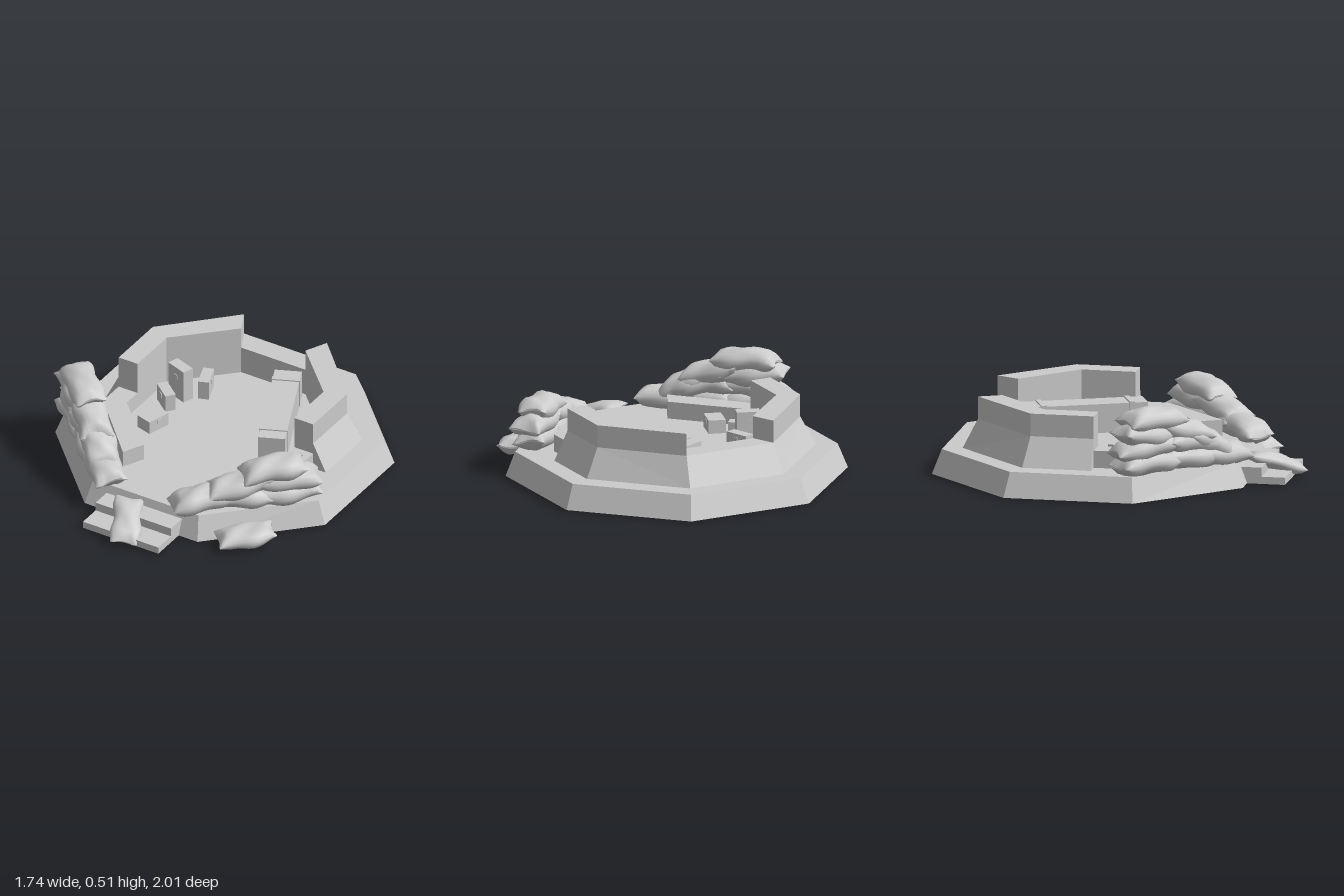
import * as THREE from 'three';
import { mergeVertices } from 'three/addons/utils/BufferGeometryUtils.js';

const flat = new THREE.MeshStandardMaterial({ color: 0xcccccc, flatShading: true, side: THREE.DoubleSide });
const smooth = new THREE.MeshStandardMaterial({ color: 0xcccccc, side: THREE.DoubleSide });

const FLOOR = 0.155;

// Joins rings of points into a faceted solid, with optional end caps
function loft(rings, capStart = true, capEnd = true) {
  const pos = [];
  const tri = (...pts) => pts.forEach((p) => pos.push(...p));
  const n = rings[0].length;
  for (let k = 0; k < rings.length - 1; k++) {
    for (let j = 0; j < n; j++) {
      const a = rings[k][j], b = rings[k][(j + 1) % n];
      const c = rings[k + 1][(j + 1) % n], d = rings[k + 1][j];
      tri(a, b, c);
      tri(a, c, d);
    }
  }
  const first = rings[0], last = rings[rings.length - 1];
  for (let j = 1; j < n - 1; j++) {
    if (capStart) tri(first[0], first[j + 1], first[j]);
    if (capEnd) tri(last[0], last[j], last[j + 1]);
  }
  const g = new THREE.BufferGeometry();
  g.setAttribute('position', new THREE.Float32BufferAttribute(pos, 3));
  g.computeVertexNormals();
  return g;
}

function add(parent, name, geometry, material = flat) {
  const m = new THREE.Mesh(geometry, material);
  m.name = name;
  parent.add(m);
  return m;
}

function addBox(parent, name, size, at) {
  const m = add(parent, name, new THREE.BoxGeometry(...size));
  m.position.set(...at);
  return m;
}

// Octagon mirrored from four corners of its left half
function octagon(half, y) {
  const left = half.map(([x, z]) => [x, y, z]);
  return [...left, ...left.map(([x, , z]) => [-x, y, z]).reverse()];
}

// Wall station: inner edge, upper outer edge, foot of the sloping bank
const backCorner = { i: [0.205, -0.64], o: [0.265, -0.765], f: [0.285, -0.845] };
const sideCorner = { i: [0.5, -0.35], o: [0.62, -0.4], f: [0.7, -0.43] };
const sideEnd = { i: [0.5, -0.05], o: [0.62, -0.05], f: [0.7, -0.05] };
const at = ([x, z], y) => [x, y, z];
const tallRing = (s) => [at(s.i, FLOOR), at(s.f, FLOOR), at(s.o, 0.315), at(s.o, 0.44), at(s.i, 0.44)];
const bankRing = (s) => [at(s.i, FLOOR), at(s.f, FLOOR), at(s.o, 0.315), at(s.i, 0.315)];
const lowRing = (i, o) => [at(i, FLOOR), at(o, FLOOR), at(o, 0.25), at(i, 0.25)];

// Filled sack: plump middle, flattened flaring ends, slight wrinkles and sag
function sackGeometry(length, width, height, seed) {
  const g = new THREE.BoxGeometry(2, 2, 2, 12, 4, 6);
  g.deleteAttribute('uv');
  g.deleteAttribute('normal');
  const p = g.attributes.position;
  for (let k = 0; k < p.count; k++) {
    const u = p.getX(k), v = p.getY(k), w = p.getZ(k);
    const plump = 0.1 + 0.9 * Math.sqrt(1 - Math.pow(Math.abs(u), 3.5));
    const flare = 0.93 - 0.2 * Math.pow(Math.abs(u), 4) + 0.16 * Math.pow(Math.abs(u), 12);
    const wrinkle = 1 + 0.07 * Math.sin(5 * u + 3 * w + seed) + 0.05 * Math.sin(7 * w - 4 * u + 2 * seed);
    const sag = 0.12 * Math.sin(2.5 * u + seed) + 0.18 * Math.pow(Math.abs(u), 6) * Math.sin(seed * 3 + w * 2);
    p.setXYZ(
      k,
      u * length * 0.5 * (1 - 0.07 * (1 - w * w)),
      height * 0.5 * (v * Math.sqrt(1 - 0.55 * w * w) * plump * wrinkle + sag),
      w * Math.sqrt(1 - 0.4 * v * v) * flare * width * 0.5 * wrinkle
    );
  }
  const merged = mergeVertices(g, 1e-4);
  merged.computeVertexNormals();
  return merged;
}

let sackCount = 0;
function addSack(parent, [x, y, z], yaw, pitch, [l, w, h] = [0.36, 0.19, 0.12]) {
  const m = add(parent, 'sandbag', sackGeometry(l, w, h, ++sackCount * 1.7), smooth);
  m.position.set(x, y, z);
  m.rotation.set(0.06 * Math.sin(sackCount * 2.3), yaw, pitch, 'YXZ');
}

// Stack along a front diagonal; each entry is [distance toward the entrance, y, pitch, yaw offset, length]
function sackStack(parent, name, side, cx, cz, entries) {
  const stack = new THREE.Group();
  stack.name = name;
  for (const [s, y, pitch, turn, length] of entries) {
    const yaw = side < 0 ? -0.76 + turn : Math.PI + 0.76 + turn;
    addSack(stack, [side * (cx - 0.72 * s), y, cz + 0.69 * s], yaw, pitch, [length, 0.2, 0.13]);
  }
  parent.add(stack);
}

export function createModel() {
  sackCount = 0;
  const model = new THREE.Group();
  model.name = 'emplacement';

  // Platform, open underneath
  const foot = [[0.36, 0.72], [0.86, 0.215], [0.86, -0.5], [0.36, -1]];
  const rim = [[0.335, 0.67], [0.81, 0.2], [0.81, -0.475], [0.335, -0.95]];
  add(model, 'platform', loft([octagon(foot, 0.02), octagon(rim, FLOOR)], false));

  // Entrance steps
  addBox(model, 'lowerStep', [0.48, 0.04, 0.24], [0, 0.04, 0.81]);
  addBox(model, 'upperStep', [0.48, 0.05, 0.12], [0, 0.085, 0.74]);

  // Low back parapet between the taller walls
  const mirrored = (s) => Object.fromEntries(Object.entries(s).map(([k, [x, z]]) => [k, [-x, z]]));
  add(model, 'backParapet', loft([bankRing(mirrored(backCorner)), bankRing(backCorner)]));

  // Tall walls and low front walls on both sides
  for (const side of [1, -1]) {
    const half = new THREE.Group();
    half.name = side > 0 ? 'leftWalls' : 'rightWalls';
    add(half, 'tallWall', loft([backCorner, sideCorner, sideEnd].map(tallRing)));
    add(half, 'lowWall', loft([
      lowRing([0.5, -0.05], [0.62, -0.05]),
      lowRing([0.5, 0.06], [0.62, 0.11]),
      lowRing([0.205, 0.36], [0.265, 0.48]),
    ]));
    half.scale.x = side;
    model.add(half);
  }

  // Long chest with two straps
  const chest = new THREE.Group();
  chest.name = 'longChest';
  chest.position.set(0.265, FLOOR, -0.28);
  chest.rotation.y = 0.417;
  addBox(chest, 'chestBody', [0.148, 0.16, 0.665], [0, 0.08, 0]);
  for (const z of [-0.245, 0.245]) addBox(chest, 'chestStrap', [0.154, 0.167, 0.03], [0, 0.083, z]);
  model.add(chest);

  // Small crates: x, z, width, height, depth, yaw
  const crates = [
    [-0.265, -0.375, 0.06, 0.11, 0.14, 0.35],
    [-0.365, -0.275, 0.13, 0.195, 0.065, -0.33],
    [-0.385, -0.16, 0.135, 0.1, 0.06, -0.67],
    [-0.335, 0.055, 0.095, 0.075, 0.14, -0.28],
  ];
  for (const [x, z, w, h, d, yaw] of crates) {
    const crate = new THREE.Group();
    crate.name = 'crate';
    crate.position.set(x, FLOOR, z);
    crate.rotation.y = yaw;
    addBox(crate, 'crateBody', [w, h, d], [0, h / 2, 0]);
    const clasp = w > d ? [0.025, 0.025, d + 0.008] : [w + 0.008, 0.025, 0.025];
    addBox(crate, 'crateClasp', clasp, [0, h * 0.7, 0]);
    model.add(crate);
  }

  // Sandbag stacks on the front diagonals
  sackStack(model, 'rightSandbags', -1, 0.535, 0.385, [
    [-0.2, 0.21, 0, 0.05, 0.38], [0.08, 0.21, 0, -0.08, 0.36], [0.29, 0.205, -0.12, 0.04, 0.34],
    [-0.21, 0.295, 0.05, -0.08, 0.38], [0.09, 0.29, -0.1, 0.06, 0.37],
    [-0.2, 0.37, -0.05, 0.06, 0.36], [0.04, 0.365, -0.3, -0.05, 0.34],
    [0.2, 0.275, -0.5, 0.03, 0.3], [-0.15, 0.445, 0.03, 0, 0.37],
  ]);
  sackStack(model, 'leftSandbags', 1, 0.495, 0.405, [
    [-0.2, 0.21, 0, 0.05, 0.38], [0.06, 0.21, 0, -0.06, 0.36], [0.27, 0.205, -0.1, 0.05, 0.34],
    [-0.21, 0.285, 0.06, -0.06, 0.36], [0.06, 0.275, -0.2, 0.04, 0.36],
    [-0.13, 0.35, -0.15, 0.02, 0.36],
  ]);

  // Fallen sandbags on the steps and beside the platform
  addSack(model, [-0.02, 0.095, 0.835], -1.1, -0.28, [0.33, 0.17, 0.085]);
  addSack(model, [0.585, 0.07, 0.59], 0.78, 0.12, [0.32, 0.19, 0.1]);

  return model;
}
